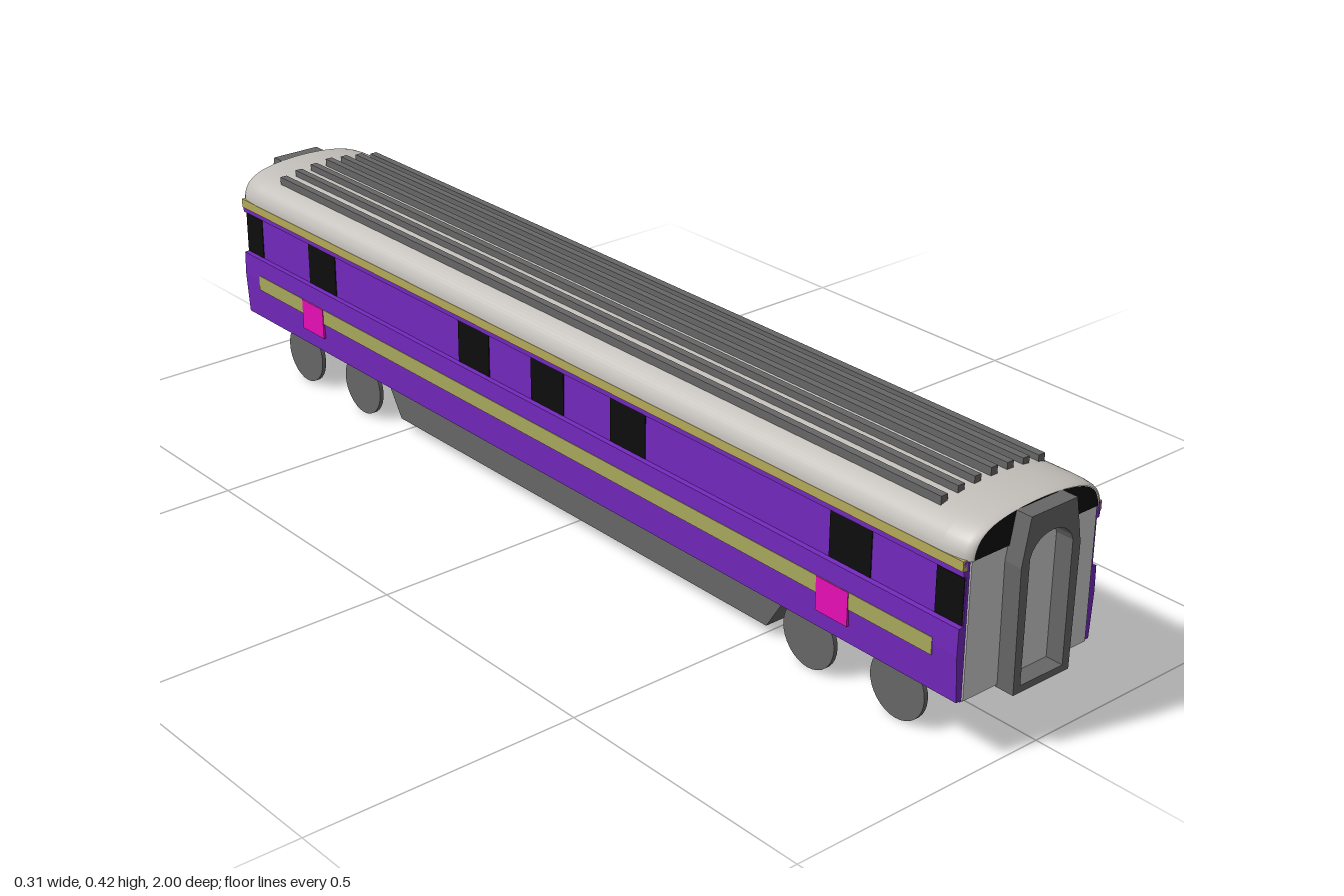
import * as THREE from 'three';

const mat = (color) => new THREE.MeshStandardMaterial({ color, side: THREE.DoubleSide });
const grey = mat(0xcccccc), purple = mat(0x7328bd), dark = mat(0x666666), black = mat(0x0d0d0d);
const olive = mat(0xa8a85c), gold = mat(0xb4aa58), pink = mat(0xe810b8), roofGrey = mat(0xc2beb9);

const END = 0.965; // half length of the body

export function createModel() {
  const model = new THREE.Group();
  const add = (name, geometry, material, x = 0, y = 0, z = 0) => {
    const mesh = new THREE.Mesh(geometry, material);
    mesh.name = name;
    mesh.position.set(x, y, z);
    model.add(mesh);
    return mesh;
  };
  // Box given by its centre x, its width, and its y and z ranges
  const block = (name, material, x, w, y0, y1, z0, z1) =>
    add(name, new THREE.BoxGeometry(w, y1 - y0, Math.abs(z1 - z0)), material, x, (y0 + y1) / 2, (z0 + z1) / 2);
  const shapeOf = (pts) => new THREE.Shape(pts.map(([x, y]) => new THREE.Vector2(x, y)));
  const mirrored = (half) => [...half, ...half.map(([x, y]) => [-x, y]).reverse()];

  // Body shell: cross-section with a stepped waist, run along z
  const section = mirrored([[0.148, 0.108], [0.153, 0.19], [0.152, 0.235], [0.143, 0.236],
    [0.143, 0.319], [0.149, 0.32], [0.149, 0.345]]);
  const shell = new THREE.ExtrudeGeometry(shapeOf(section), { depth: END * 2, bevelEnabled: false });
  add('bodyShell', shell, purple, 0, 0, -END);
  block('floor', dark, 0, 0.28, 0.106, 0.112, -END, END);

  // Roof: arched section lofted along z, narrowing at the ends
  const arch = new THREE.SplineCurve([[0.151, 0.345], [0.148, 0.361], [0.136, 0.379], [0.108, 0.394],
    [0.06, 0.403], [0, 0.406], [-0.06, 0.403], [-0.108, 0.394], [-0.136, 0.379], [-0.148, 0.361],
    [-0.151, 0.345]].map(([x, y]) => new THREE.Vector2(x, y))).getPoints(40);
  const nose = [[0.972, 0.9], [0.969, 0.94], [0.96, 0.97], [0.945, 0.99], [0.92, 1]];
  const stations = [...nose, ...nose.map(([z, s]) => [-z, s]).reverse()];
  const pos = [], index = [];
  stations.forEach(([z, s], i) => arch.forEach((p, j) => {
    pos.push(p.x * s, 0.345 + (p.y - 0.345) * (0.55 + 0.45 * s), z);
    if (i && j) {
      const n = arch.length, a = (i - 1) * n + j - 1, b = i * n + j - 1;
      index.push(a, b, a + 1, b, b + 1, a + 1);
    }
  }));
  const roof = new THREE.BufferGeometry();
  roof.setAttribute('position', new THREE.Float32BufferAttribute(pos, 3));
  // Triangles wound so that the outside faces up
  const flipped = [];
  for (let i = 0; i < index.length; i += 3) flipped.push(index[i], index[i + 2], index[i + 1]);
  roof.setIndex(flipped);
  roof.computeVertexNormals();
  if (roof.attributes.normal.getY(20 + 4 * arch.length) < 0) {
    roof.setIndex(index);
    roof.computeVertexNormals();
  }
  add('roof', roof, roofGrey);

  // Roof ribs follow the arch
  [0.407, 0.413, 0.417, 0.42].forEach((top, i) => {
    const x = 0.106 - i * 0.0353;
    for (const s of i < 3 ? [1, -1] : [1]) block('roofRib', dark, x * s, 0.014, top - 0.022, top, -0.88, 0.88);
  });

  // Ends: wall, dark fascia under the roof arch, gangway frame
  const fascia = new THREE.ShapeGeometry(new THREE.Shape(
    arch.map((p) => new THREE.Vector2(p.x * 0.9, 0.345 + (p.y - 0.345) * 0.93))));
  const frame = shapeOf(mirrored([[0.062, 0.103], [0.065, 0.32], [0.05, 0.4]]));
  const hole = new THREE.Path();
  hole.moveTo(-0.047, 0.115);
  hole.lineTo(-0.047, 0.33);
  hole.bezierCurveTo(-0.035, 0.374, 0.035, 0.374, 0.047, 0.33);
  hole.lineTo(0.047, 0.115);
  hole.closePath();
  frame.holes.push(hole);
  const gangway = new THREE.ExtrudeGeometry(frame, { depth: 0.036, bevelEnabled: false, curveSegments: 12 });
  for (const s of [1, -1]) {
    block('endWall', grey, 0, 0.274, 0.108, 0.347, s * 0.955, s * 0.968);
    add('endFascia', fascia, black, 0, 0, s * 0.9705);
    add('gangwayFrame', gangway, dark, 0, 0, s > 0 ? 0.964 : -1);
  }

  // Side trim shared by both sides
  for (const s of [1, -1]) {
    block('cantrailStrip', gold, s * 0.147, 0.009, 0.33, 0.347, -END, END);
    block('waistStripe', olive, s * 0.15, 0.0075, 0.17, 0.2, -0.915, 0.915);
    for (const z of [0.705, -0.725]) block('sidePanel', pink, s * 0.15, 0.01, 0.14, 0.2, z - 0.035, z + 0.035);
    for (const e of [1, -1]) block('endWindow', black, s * 0.142, 0.005, 0.237, 0.316, e * 0.908, e * 0.963);
  }

  // Left side: long window, small window, pale doors windows
  block('longWindow', black, 0.142, 0.005, 0.237, 0.319, 0.8, -0.608);
  block('smallWindow', black, 0.142, 0.005, 0.237, 0.319, -0.625, -0.69);
  for (const e of [1, -1]) block('paleWindow', grey, 0.142, 0.007, 0.24, 0.319, e * 0.802, e * 0.868);

  // Right side: five separate windows
  for (const z of [-0.7, -0.22, -0.01, 0.205, 0.73])
    block('squareWindow', black, -0.142, 0.005, 0.237, 0.319, z - 0.045, z + 0.045);

  // Underframe box with sloping ends
  const tray = shapeOf(mirrored([[0.565, 0.108], [0.51, 0.021]]));
  const underframe = new THREE.ExtrudeGeometry(tray, { depth: 0.21, bevelEnabled: false });
  add('underframe', underframe, dark, -0.105).rotation.y = Math.PI / 2;

  // Bogies with pivot, beam, axles and disc wheels
  const wheel = new THREE.CylinderGeometry(0.058, 0.058, 0.008, 32).rotateZ(Math.PI / 2);
  const axle = new THREE.CylinderGeometry(0.005, 0.005, 0.23, 12).rotateZ(Math.PI / 2);
  const pivot = new THREE.CylinderGeometry(0.033, 0.033, 0.03, 24);
  for (const c of [0.72, -0.715]) {
    add('bogiePivot', pivot, dark, 0, 0.093, c);
    block('bogieBeam', dark, 0, 0.118, 0.037, 0.079, c - 0.13, c + 0.13);
    for (const e of [0.098, -0.098]) {
      add('axle', axle, dark, 0, 0.059, c + e);
      for (const x of [0.115, -0.115]) add('wheel', wheel, dark, x, 0.058, c + e);
    }
  }
  return model;
}
